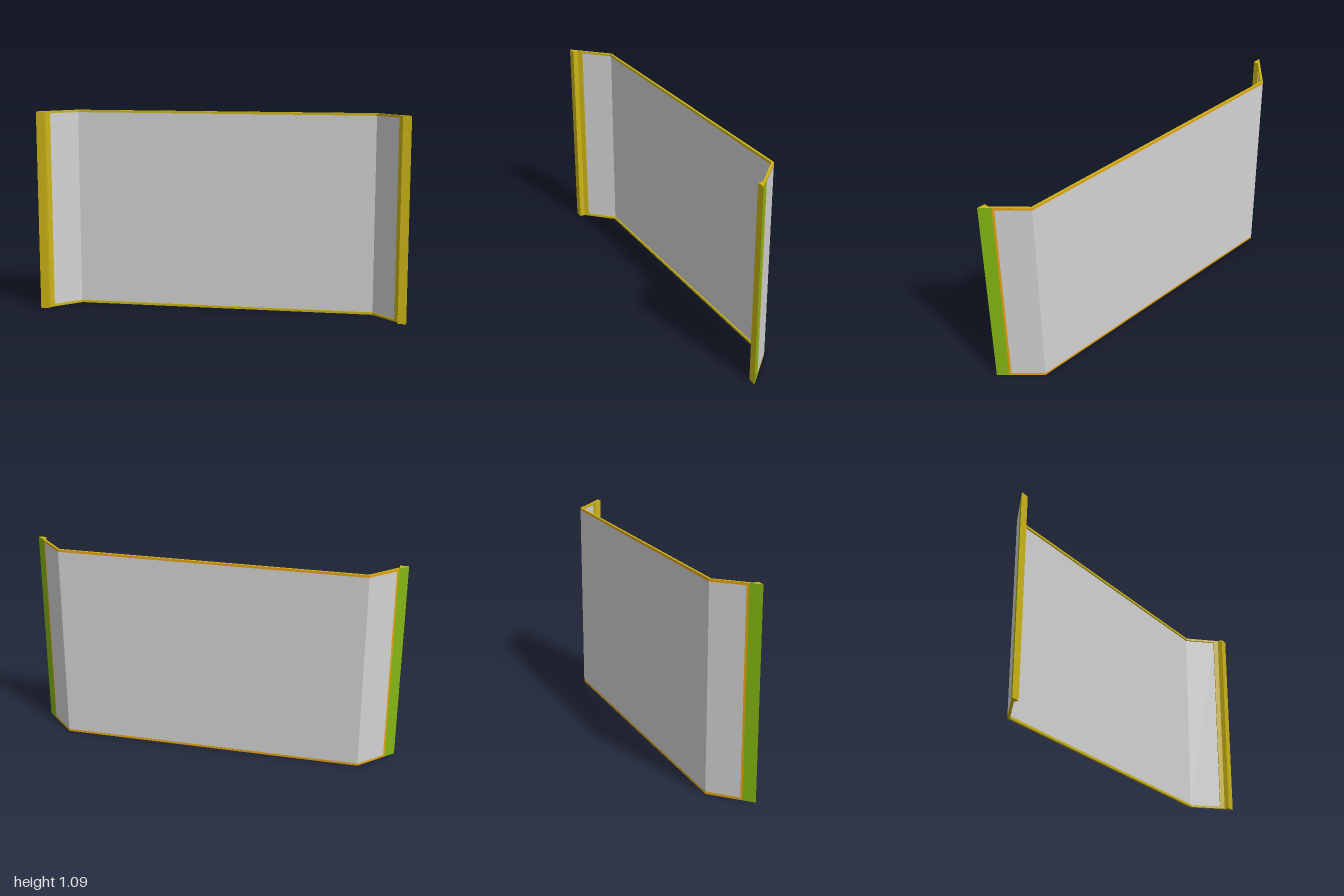
import * as THREE from 'three';

const H = 1.09, RAIL = 0.013;

const mat = (name, color) => {
  const m = new THREE.MeshStandardMaterial({ color });
  m.name = name;
  return m;
};

// back line of the plan: flat centre with two wings folded forward at 45 degrees
const backZ = (x) => Math.max(-0.09, Math.abs(x) - 0.91);
const onBack = (x, z) => Math.abs(z - backZ(x)) < 0.0005;

// upright prism over an [x, z] outline; sides on the back line get the second material
function prism(name, outline, y0, y1, main, back) {
  let pts = outline.map(([x, z]) => new THREE.Vector2(x, z));
  if (THREE.ShapeUtils.isClockWise(pts)) pts = pts.reverse();
  const mainPos = [], backPos = [];

  pts.forEach((a, i) => {
    const b = pts[(i + 1) % pts.length];
    const list = onBack((a.x + b.x) / 2, (a.y + b.y) / 2) ? backPos : mainPos;
    list.push(a.x, y0, a.y, a.x, y1, a.y, b.x, y0, b.y);
    list.push(b.x, y0, b.y, a.x, y1, a.y, b.x, y1, b.y);
  });

  for (const tri of THREE.ShapeUtils.triangulateShape(pts, [])) {
    let [a, b, c] = tri.map((i) => pts[i]);
    if (THREE.ShapeUtils.area([a, b, c]) < 0) [b, c] = [c, b];
    for (const p of [a, b, c]) mainPos.push(p.x, y0, p.y);
    for (const p of [a, c, b]) mainPos.push(p.x, y1, p.y);
  }

  const g = new THREE.BufferGeometry();
  g.setAttribute('position', new THREE.Float32BufferAttribute([...mainPos, ...backPos], 3));
  g.addGroup(0, mainPos.length / 3, 0);
  g.addGroup(mainPos.length / 3, backPos.length / 3, 1);
  g.computeVertexNormals();
  const mesh = new THREE.Mesh(g, [main, back]);
  mesh.name = name;
  return mesh;
}

// folded strip of thickness t lying against the back line, ending at x = +-end
function foldedStrip(end, t) {
  const d = t * Math.SQRT1_2, fold = 0.82 - t * Math.tan(Math.PI / 8);
  const z = backZ(end);
  const half = [[0.82, -0.09], [end, z], [end - d, z + d], [fold, -0.09 + t]];
  const mirrored = half.map(([x, zz]) => [-x, zz]).reverse();
  return [...half, ...mirrored];
}

export function createModel() {
  const group = new THREE.Group();
  group.name = 'foldedScreen';
  const yellow = mat('yellow frame', 0xccb414);
  const orange = mat('orange rim', 0xe6a20f);
  const green = mat('green edge', 0x84b612);
  const grey = mat('grey panel', 0xd2d2d2);

  // thin panel, flush with the back of the frame
  group.add(prism('panel', foldedStrip(0.945, 0.004), RAIL, H - RAIL, grey, grey));

  // rails along the bottom and top edges
  const rail = foldedStrip(0.953, 0.012);
  group.add(prism('bottomRail', rail, 0, RAIL, yellow, orange));
  group.add(prism('topRail', rail, H - RAIL, H, yellow, orange));

  // upright posts and wedge-shaped mounting feet on both sides
  const post = [[0.945, 0.035], [0.953, 0.043], [0.9445, 0.0515], [0.9365, 0.0435]];
  const foot = [[0.953, 0.043], [1, 0.09], [0.955, 0.09], [0.955, 0.062], [0.9445, 0.0515]];
  for (const [side, s] of [['left', 1], ['right', -1]]) {
    const flip = (pts) => pts.map(([x, z]) => [x * s, z]);
    group.add(prism(side + 'Post', flip(post), RAIL, H - RAIL, yellow, orange));
    group.add(prism(side + 'Foot', flip(foot), 0, H, yellow, green));
  }
  return group;
}
